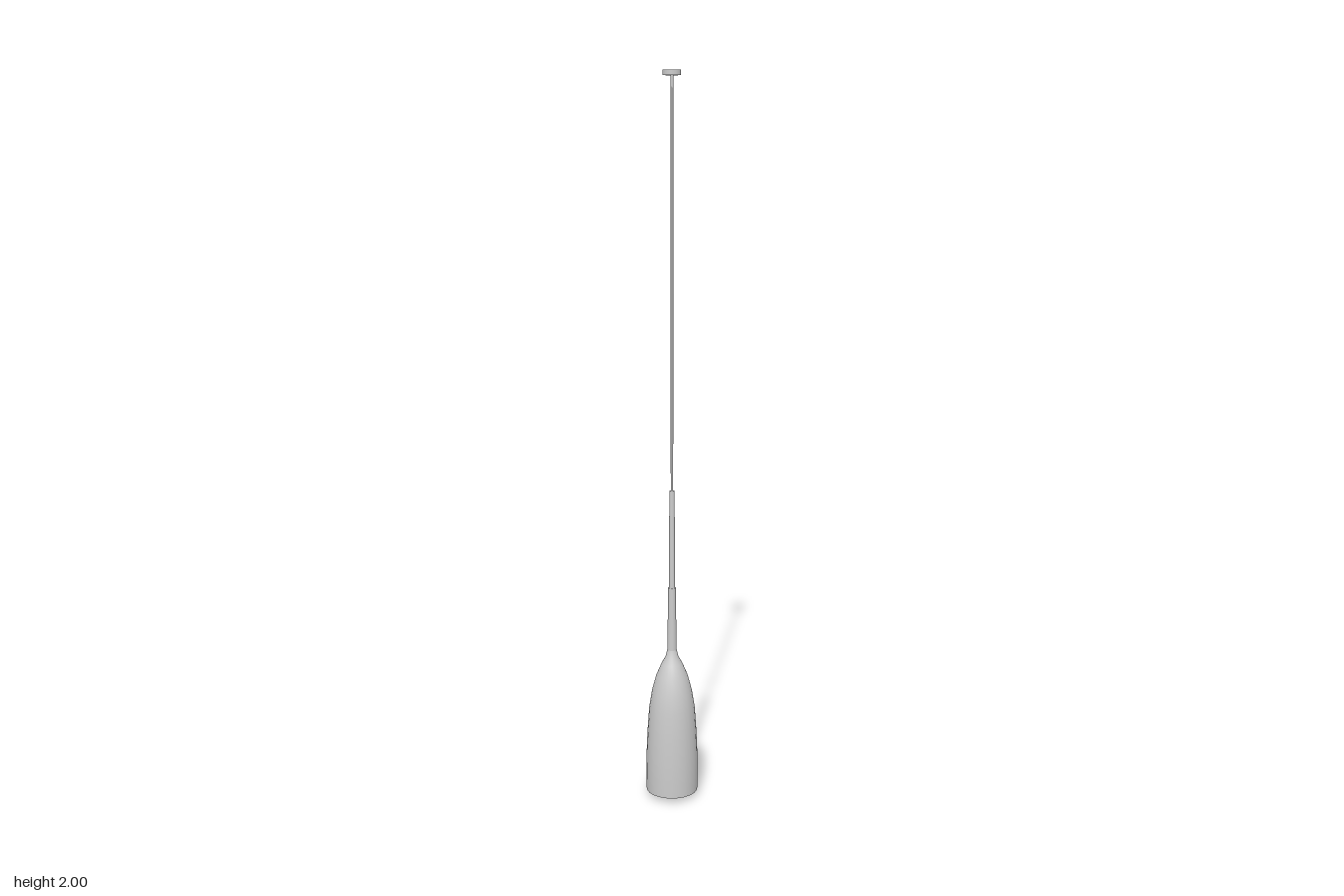
import * as THREE from 'three';

const material = new THREE.MeshStandardMaterial({ color: 0xcccccc, side: THREE.DoubleSide });

function add(group, name, geometry, y = 0, z = 0) {
  const mesh = new THREE.Mesh(geometry, material);
  mesh.name = name;
  mesh.position.set(0, y, z);
  group.add(mesh);
  return mesh;
}

const lathe = (points) =>
  new THREE.LatheGeometry(points.map(([r, y]) => new THREE.Vector2(r, y)), 24);

export function createModel() {
  const lamp = new THREE.Group();
  lamp.name = 'pendantLamp';

  // Bottle-shaped shade, outer skin running up into the neck
  const outer = [
    [0.072, 0.015], [0.0725, 0.06], [0.072, 0.12], [0.069, 0.19], [0.064, 0.26],
    [0.056, 0.31], [0.044, 0.355], [0.029, 0.39], [0.018, 0.41], [0.013, 0.43],
  ];
  add(lamp, 'shade', lathe(outer));

  // Inner skin and bottom rim
  const inner = outer.slice(0, 8).map(([r, y]) => [r - 0.004, y]).reverse();
  add(lamp, 'shadeLining', lathe([[0, 0.39], ...inner]));
  add(lamp, 'shadeRim', lathe([[0.068, 0.015], [0.072, 0.015]]));

  // Bulb peeking out below the rim
  const bulb = [
    [0, 0], [0.015, 0.002], [0.03, 0.01], [0.042, 0.023], [0.049, 0.04], [0.05, 0.055],
    [0.046, 0.075], [0.035, 0.1], [0.022, 0.125], [0.018, 0.15], [0.018, 0.2], [0, 0.2],
  ];
  add(lamp, 'bulb', lathe(bulb));

  // Stepped stem
  add(lamp, 'lowerStem', new THREE.CylinderGeometry(0.0105, 0.013, 0.18, 24), 0.52);
  add(lamp, 'upperStem', new THREE.CylinderGeometry(0.007, 0.009, 0.28, 24), 0.745);

  // Cord and ceiling plate
  add(lamp, 'cord', new THREE.CylinderGeometry(0.0035, 0.0035, 1.12, 12), 1.43);
  add(lamp, 'ceilingPlate', new THREE.CylinderGeometry(0.024, 0.024, 0.014, 24), 1.993, -0.003);

  return lamp;
}
